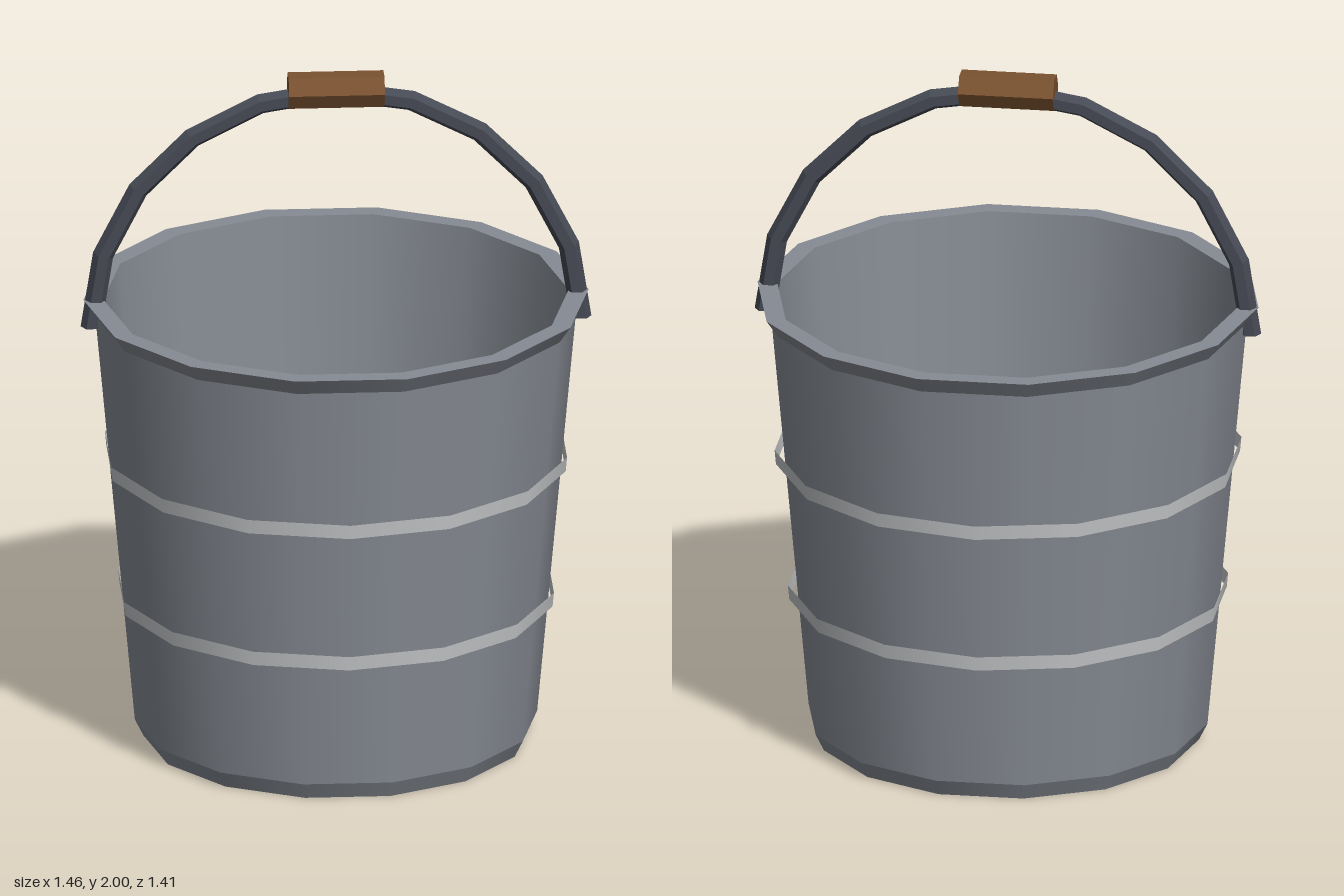
import * as THREE from 'three';
import { mergeGeometries } from 'three/addons/utils/BufferGeometryUtils.js';

const SIDES = 14;

function material(name, color, side = THREE.FrontSide, flatShading = false) {
  const m = new THREE.MeshStandardMaterial({ color, side, flatShading });
  m.name = name;
  return m;
}

// Revolves each profile step on its own: smooth around, sharp between steps
function creasedLathe(profile) {
  const points = profile.map(([r, y]) => new THREE.Vector2(r, y));
  const rings = points.slice(1).map((p, i) => new THREE.LatheGeometry([points[i], p], SIDES));
  return mergeGeometries(rings).rotateY(Math.PI / 2);
}

export function createModel() {
  const group = new THREE.Group();
  const steel = material('steel', 0x868b93);
  const hoopMetal = material('pale hoop metal', 0xc4c6c8, THREE.DoubleSide);
  const iron = material('dark iron', 0x464a54, THREE.FrontSide, true);
  const wood = material('brown wood', 0x7a5230, THREE.FrontSide, true);

  const add = (name, geometry, mat, x = 0, y = 0, z = 0) => {
    const mesh = new THREE.Mesh(geometry, mat);
    mesh.name = name;
    mesh.position.set(x, y, z);
    group.add(mesh);
    return mesh;
  };

  // Hollow tapered pail: base, chamfer, wall, flared lip, rim, inner wall, floor
  add('pail', creasedLathe([
    [0, 0], [0.55, 0], [0.575, 0.05], [0.688, 1.28], [0.722, 1.33],
    [0.665, 1.33], [0.55, 0.05], [0, 0.05],
  ]), steel);

  // Thin hoops, turned half a side against the pail
  for (const [name, r, y] of [['lowerHoop', 0.63, 0.439], ['upperHoop', 0.668, 0.853]]) {
    add(name, new THREE.CylinderGeometry(r, r - 0.004, 0.042, SIDES, 1, true), hoopMetal, 0, y, 0);
  }

  // Half-ring bail handle with closed ends
  add('handle', new THREE.TorusGeometry(0.7, 0.03, 6, 10, Math.PI), iron, 0, 1.25, 0);
  for (const side of [-1, 1]) {
    add(side > 0 ? 'leftHandleEnd' : 'rightHandleEnd',
      new THREE.CircleGeometry(0.03, 6).rotateX(Math.PI / 2), iron, side * 0.7, 1.25, 0);
  }

  // Six-sided wooden grip
  add('grip', new THREE.CylinderGeometry(0.053, 0.053, 0.274, 6).rotateZ(Math.PI / 2), wood, 0, 1.954, 0);

  return group;
}
